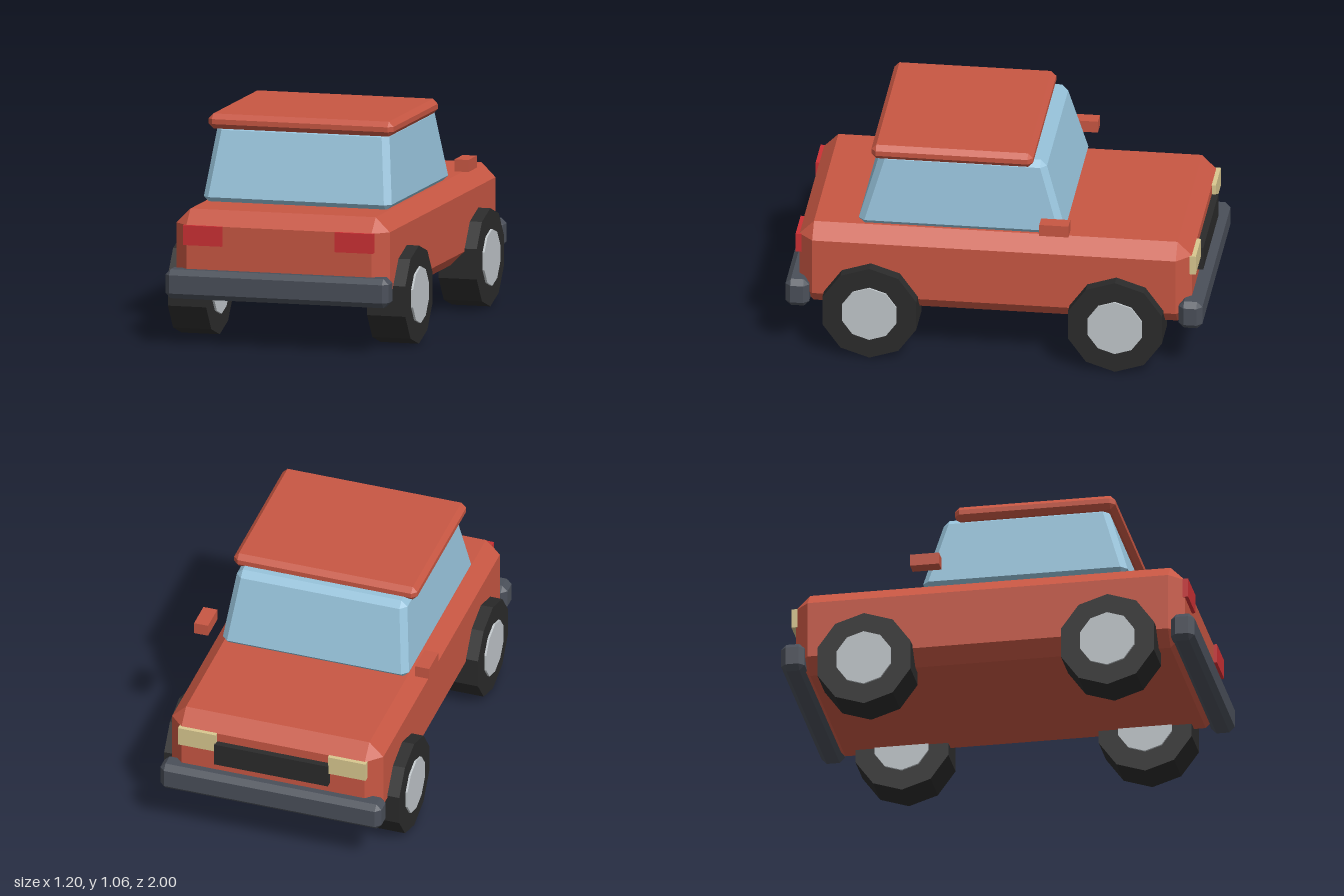
import * as THREE from 'three';
import { ConvexGeometry } from 'three/addons/geometries/ConvexGeometry.js';

const mat = (name, color) => {
  const m = new THREE.MeshStandardMaterial({ color });
  m.name = name;
  return m;
};

// Chamfered box between two heights; half sizes may taper from bottom to top
function chamferBox(y0, y1, bottom, top, b) {
  const pts = [];
  for (const sx of [-1, 1]) for (const sz of [-1, 1])
    for (const [y, dir, [w, d]] of [[y0, 1, bottom], [y1, -1, top]])
      pts.push(
        new THREE.Vector3(sx * (w - b), y, sz * (d - b)),
        new THREE.Vector3(sx * w, y + dir * b, sz * (d - b)),
        new THREE.Vector3(sx * (w - b), y + dir * b, sz * d),
      );
  return new ConvexGeometry(pts);
}

export function createModel() {
  const car = new THREE.Group();
  car.name = 'car';
  const paint = mat('red paint', 0xc85743);
  const glass = mat('blue glass', 0x97c3db);
  const bumperGrey = mat('bumper grey', 0x4a4f59);
  const rubber = mat('black rubber', 0x2b2b2b);
  const metal = mat('hub metal', 0xc0c6ca);
  const tailRed = mat('tail light red', 0xcc3034);
  const cream = mat('headlight cream', 0xd9c890);

  const add = (name, geometry, material, x = 0, y = 0, z = 0, parent = car) => {
    const mesh = new THREE.Mesh(geometry, material);
    mesh.name = name;
    mesh.position.set(x, y, z);
    parent.add(mesh);
    return mesh;
  };

  // Body, cabin and roof
  add('body', chamferBox(0.215, 0.635, [0.53, 0.942], [0.53, 0.942], 0.07), paint);
  add('cabinGlass', chamferBox(0.628, 1.0, [0.467, 0.495], [0.428, 0.403], 0.03), glass, 0, 0, 0.165);
  add('roof', chamferBox(0.977, 1.049, [0.46, 0.388], [0.46, 0.388], 0.024), paint, 0, 0, 0.212);

  // Bumpers at both ends
  const bumper = chamferBox(0.215, 0.355, [0.555, 0.057], [0.555, 0.057], 0.026);
  add('rearBumper', bumper, bumperGrey, 0, 0, 0.943);
  add('frontBumper', bumper, bumperGrey, 0, 0, -0.943);

  // Grille between the headlights
  add('grille', new THREE.BoxGeometry(0.57, 0.115, 0.05), rubber, 0, 0.4625, -0.948);

  // Ten-sided wheels, each a tyre with a hub showing on both faces
  const tyre = new THREE.CylinderGeometry(0.2366, 0.2366, 0.19, 10).toNonIndexed();
  const hub = new THREE.CylinderGeometry(0.137, 0.137, 0.21, 10).toNonIndexed();
  for (const g of [tyre, hub]) {
    g.rotateZ(Math.PI / 2);
    g.rotateX(Math.PI / 2);
    g.computeVertexNormals();
  }

  const light = new THREE.BoxGeometry(0.19, 0.095, 0.05);
  const mirror = new THREE.BoxGeometry(0.07, 0.058, 0.14);
  for (const [side, s] of [['left', 1], ['right', -1]]) {
    for (const [end, z] of [['Rear', 0.59], ['Front', -0.588]]) {
      const wheel = new THREE.Group();
      wheel.name = `${side}${end}Wheel`;
      wheel.position.set(s * 0.495, 0.225, z);
      add('tyre', tyre, rubber, 0, 0, 0, wheel);
      add('hub', hub, metal, 0, 0, 0, wheel);
      car.add(wheel);
    }
    add(`${side}TailLight`, light, tailRed, s * 0.376, 0.519, 0.934);
    add(`${side}Headlight`, light, cream, s * 0.376, 0.519, -0.936);
    add(`${side}Mirror`, mirror, paint, s * 0.555, 0.72, -0.295);
  }
  return car;
}
